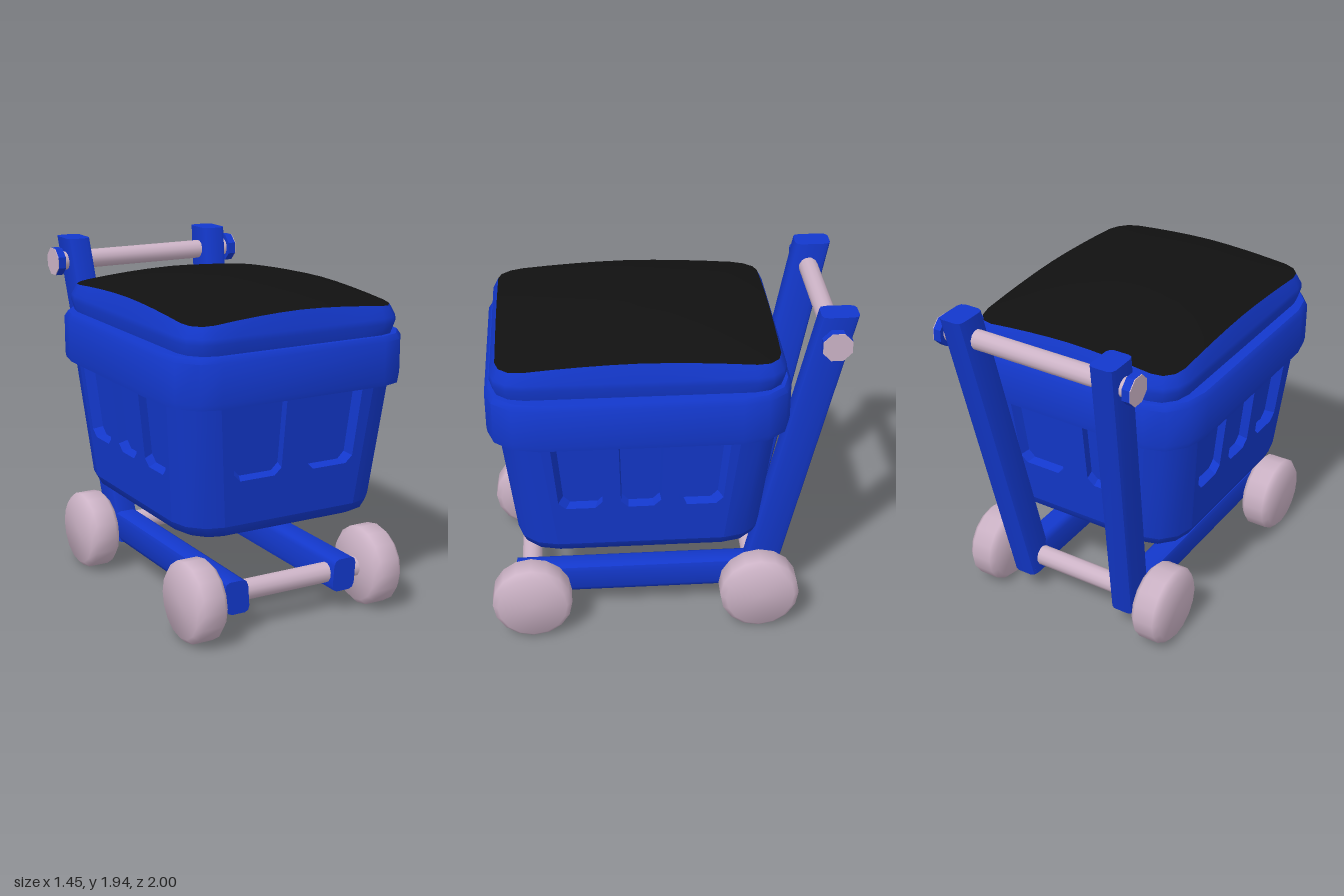
import * as THREE from 'three';
import { toCreasedNormals } from 'three/addons/utils/BufferGeometryUtils.js';

const paint = (c) => new THREE.MeshStandardMaterial({ color: c });
const blue = paint(0x1338cc), pink = paint(0xccb3c6), black = paint(0x111111);
const CZ = 0.155; // basket centre in z

function add(parent, name, geo, mat, crease = 0.75) {
  const mesh = new THREE.Mesh(toCreasedNormals(geo, crease), mat);
  mesh.name = name;
  parent.add(mesh);
  return mesh;
}

// Skin over successive rings of points, with optional end caps
function loft(rings, { closed = true, start = false, end = false } = {}) {
  const n = rings[0].length, pos = [], idx = [];
  rings.forEach((r) => r.forEach((p) => pos.push(...p)));
  for (let j = 0; j < rings.length - 1; j++)
    for (let i = 0; i < (closed ? n : n - 1); i++) {
      const p = j * n + i, q = j * n + (i + 1) % n;
      idx.push(p, p + n, q, q, p + n, q + n);
    }
  const cap = (j, flip) => {
    const c = pos.length / 3;
    pos.push(...[0, 1, 2].map((k) => rings[j].reduce((s, p) => s + p[k], 0) / n));
    for (let i = 0; i < n; i++) {
      const p = j * n + i, q = j * n + (i + 1) % n;
      idx.push(c, ...(flip ? [q, p] : [p, q]));
    }
  };
  if (start) cap(0, false);
  if (end) cap(rings.length - 1, true);
  const g = new THREE.BufferGeometry();
  g.setAttribute('position', new THREE.Float32BufferAttribute(pos, 3));
  g.setIndex(idx);
  return g;
}

// Rounded rectangle as [a, b] pairs; w and d are half sizes
function roundRect(w, d, rw, rd, seg = 3, edge = 1) {
  const corners = [[1, 1], [-1, 1], [-1, -1], [1, -1]].map(([sx, sz], k) =>
    Array.from({ length: seg + 1 }, (_, i) => {
      const a = (k + i / seg) * Math.PI / 2;
      return [sx * (w - rw) + Math.cos(a) * rw, sz * (d - rd) + Math.sin(a) * rd];
    }));
  return corners.flatMap((c, k) => {
    const p = c[seg], q = corners[(k + 1) % 4][0], extra = [];
    for (let e = 1; e < edge; e++)
      extra.push([p[0] + (q[0] - p[0]) * e / edge, p[1] + (q[1] - p[1]) * e / edge]);
    return [...c, ...extra];
  });
}

const level = (y, w, d, rw, rd, edge) =>
  roundRect(w, d, rw, rd, 3, edge).map(([x, z]) => [x, y, z + CZ]);

// Tapering basket walls
const RW = 0.2, RD = 0.22, Y0 = 0.63, Y1 = 1.35;
const halfW = (y) => 0.605 + 0.065 * (y - Y0) / 0.68;
const halfD = (y) => 0.68 + 0.075 * (y - Y0) / 0.68;

// One flat wall with recessed windows, each [left top, left bottom, right bottom, right top]
function addWall(parent, turn, half, dist, windows) {
  const place = (g) => g.rotateY(turn * Math.PI / 2).translate(0, 0, CZ);
  const outline = [[-half(Y0), Y0], [half(Y0), Y0], [half(Y1), Y1], [-half(Y1), Y1]];
  const shape = new THREE.Shape(outline.map((p) => new THREE.Vector2(...p)));
  const yb = 0.88, yt = 1.33, c = 0.04;
  for (const [lt, lb, rb, rt] of windows) {
    const pts = [[lt, yt], [lb, yb + c], [lb + c, yb], [rb - c, yb], [rb, yb + c], [rt, yt]];
    shape.holes.push(new THREE.Path(pts.map((p) => new THREE.Vector2(...p))));
    const front = pts.map(([u, y]) => [u, y, dist(y)]);
    const back = pts.map(([u, y]) => [u * 0.94, y + 0.015, dist(y) - 0.05]);
    add(parent, 'windowRecess', place(loft([back, front], { start: true })), blue, 0.4);
  }
  const g = new THREE.ShapeGeometry(shape), p = g.attributes.position;
  for (let i = 0; i < p.count; i++) p.setZ(i, dist(p.getY(i)));
  add(parent, 'basketWall', place(g), blue);
}

function buildBasket() {
  const g = new THREE.Group();
  g.name = 'basket';
  const endWindows = [[-0.4, -0.37, -0.08, -0.075], [0.075, 0.08, 0.37, 0.4]];
  const sideWindows = [[-0.485, -0.45, -0.21, -0.205], [-0.12, -0.11, 0.11, 0.12], [0.205, 0.21, 0.45, 0.485]];
  for (const k of [0, 2]) addWall(g, k, (y) => halfW(y) - RW, halfD, endWindows);
  for (const k of [1, 3]) addWall(g, k, (y) => halfD(y) - RD, halfW, sideWindows);
  // rounded corners between the walls
  const [low, high] = [Y0, Y1].map((y) => level(y, halfW(y), halfD(y), RW, RD));
  for (let k = 0; k < 4; k++)
    add(g, 'basketCorner', loft([low, high].map((r) => r.slice(4 * k, 4 * k + 4)), { closed: false }), blue);
  add(g, 'basketBottom', loft([
    level(0.56, 0.54, 0.62, 0.16, 0.18), level(0.58, 0.58, 0.66, 0.19, 0.21), low,
  ], { start: true }), blue);
  add(g, 'basketRim', loft([
    level(1.31, 0.72, 0.81, 0.225, 0.275), level(1.34, 0.725, 0.815, 0.23, 0.28),
    level(1.55, 0.725, 0.815, 0.23, 0.28), level(1.58, 0.705, 0.795, 0.21, 0.26),
  ], { start: true, end: true }), blue);
  return g;
}

function buildLid() {
  const g = new THREE.Group();
  g.name = 'lid';
  const W = 0.625, D = 0.75, E = 8;
  const bulge = (t) => 0.045 * (1 - Math.min(1, Math.abs(t)) ** 1.7);
  // domed cover, one ring per scale factor
  const dome = (s) => roundRect(W, D, 0.12, 0.14, 3, E).map(([x, z]) =>
    [x * s, 1.72 + bulge(x * s / W) + bulge(z * s / D) + 0.03 * (1 - s ** 3), z * s + CZ]);
  add(g, 'lidEdge', loft([
    level(1.56, 0.64, 0.765, 0.15, 0.17, E), level(1.64, 0.66, 0.785, 0.15, 0.17, E),
    level(1.67, 0.657, 0.782, 0.15, 0.17, E), dome(1),
  ]), blue);
  add(g, 'lidCover', loft([1, 0.9, 0.7, 0.5, 0.3, 0.1].map(dome), { end: true }), black);
  return g;
}

// Cylinder lying along x
const rod = (r, len, x, y, z, sides) =>
  new THREE.CylinderGeometry(r, r, len, sides).rotateX(Math.PI / sides).rotateY(Math.PI / sides)
    && new THREE.CylinderGeometry(r, r, len, sides).rotateY(Math.PI / sides).rotateZ(-Math.PI / 2).translate(x, y, z);

function buildFrame() {
  const g = new THREE.Group();
  g.name = 'frame';
  const postX = (y) => 0.342 + 0.0685 * (y - 0.23);
  const postZ = (y) => -0.54 - 0.21 * (y - 0.23);
  for (const s of [1, -1]) {
    // leaning handle post
    const post = [0.14, 1.94].map((y) =>
      roundRect(0.072, 0.1, 0.03, 0.035, 2).map(([x, z]) => [x + s * postX(y), y, z + postZ(y)]));
    add(g, 'handlePost', loft(post, { start: true, end: true }), blue);
    // lower rail, leaning with the post
    const rail = [0.86, -0.6].map((z) =>
      roundRect(0.07, 0.093, 0.03, 0.035, 2).map(([x, y]) => [x + s * postX(y + 0.232), y + 0.232, z]));
    add(g, 'lowerRail', loft(rail, { start: true, end: true }), blue);
    // handle end knob
    add(g, 'handleKnob', rod(0.085, 0.045, s * 0.578, 1.805, -0.875, 8), blue, 0.5);
    add(g, 'knobFace', rod(0.084, 0.006, s * 0.602, 1.805, -0.875, 8), pink, 0.5);
  }
  add(g, 'handleBar', rod(0.055, 1.12, 0, 1.805, -0.875, 12), pink);
  return g;
}

function buildWheels() {
  const g = new THREE.Group();
  g.name = 'wheels';
  const profile = [[0, -0.09], [0.195, -0.09], [0.225, -0.06], [0.225, 0.06], [0.195, 0.09], [0, 0.09]];
  for (const z of [0.775, -0.52]) {
    add(g, 'axle', rod(0.058, 0.98, 0, 0.23, z, 12), pink);
    for (const s of [1, -1]) {
      const tyre = new THREE.LatheGeometry(profile.map((p) => new THREE.Vector2(...p)), 16);
      add(g, 'wheel', tyre.rotateZ(Math.PI / 2).translate(s * 0.555, 0.23, z), pink, 0.9);
    }
  }
  return g;
}

export function createModel() {
  const model = new THREE.Group();
  model.name = 'basketCart';
  model.add(buildBasket(), buildLid(), buildFrame(), buildWheels());
  return model;
}
